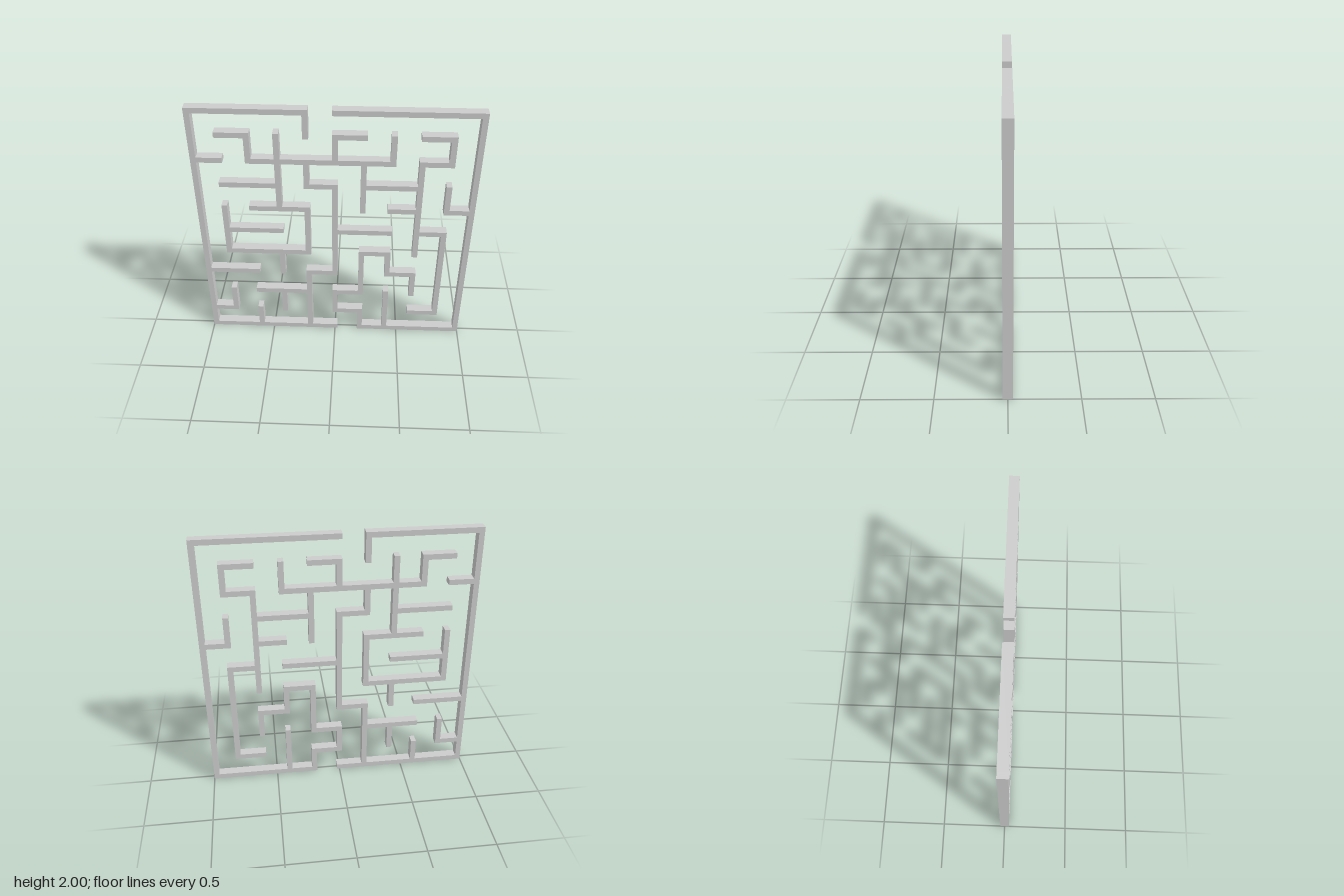
import * as THREE from 'three';

const T = 0.04;      // wall thickness
const DEPTH = 0.07;  // wall depth along z
const LAST = 10;     // the grid lines run 0..10, 0.2 apart

// Each row lists the wall runs on one grid line as [from, to] pairs.
const HORIZONTAL = [ // bottom to top
  [[0, 5], [6, 10]],
  [[0, 1], [5, 6], [8, 9]],
  [[2, 4], [5, 6]],
  [[0, 2], [4, 5], [7, 8]],
  [[1, 4], [6, 7]],
  [[1, 3], [5, 7], [8, 9]],
  [[2, 4], [7, 8], [9, 10]],
  [[1, 3], [4, 5], [6, 8]],
  [[0, 1], [2, 7], [8, 9]],
  [[1, 2], [5, 6], [8, 9]],
  [[0, 4], [5, 10]],
];
const VERTICAL = [ // -x to +x
  [[0, 10]],
  [[1, 2], [4, 6]],
  [[0, 1], [8, 9]],
  [[1, 2], [3, 4], [6, 9]],
  [[0, 3], [4, 6], [7, 8], [9, 10]],
  [[1, 2], [3, 7], [8, 9]],
  [[0, 1], [2, 4], [6, 8]],
  [[0, 2], [3, 4], [8, 9]],
  [[2, 3], [4, 8]],
  [[1, 5], [6, 7], [8, 9]],
  [[0, 10]],
];

// Centre of a grid line; the border walls sit just inside the square.
const line = (i) => THREE.MathUtils.clamp(i * 0.2, T / 2, 2 - T / 2);

export function createModel() {
  const maze = new THREE.Group();
  maze.name = 'maze';
  const border = new THREE.Group();
  border.name = 'outerWalls';
  const inner = new THREE.Group();
  inner.name = 'innerWalls';
  maze.add(border, inner);
  const material = new THREE.MeshStandardMaterial({ color: 0xcccccc, flatShading: true });

  function addWalls(rows, isHorizontal) {
    rows.forEach((runs, index) => {
      for (const [from, to] of runs) {
        const a = line(from), b = line(to);
        const length = b - a + T, middle = (a + b) / 2, across = line(index);
        const size = isHorizontal ? [length, T] : [T, length];
        const wall = new THREE.Mesh(new THREE.BoxGeometry(...size, DEPTH), material);
        const [x, y] = isHorizontal ? [middle, across] : [across, middle];
        wall.position.set(x - 1, y, 0);
        wall.name = isHorizontal ? 'horizontalWall' : 'verticalWall';
        (index === 0 || index === LAST ? border : inner).add(wall);
      }
    });
  }

  addWalls(HORIZONTAL, true);
  addWalls(VERTICAL, false);
  return maze;
}
